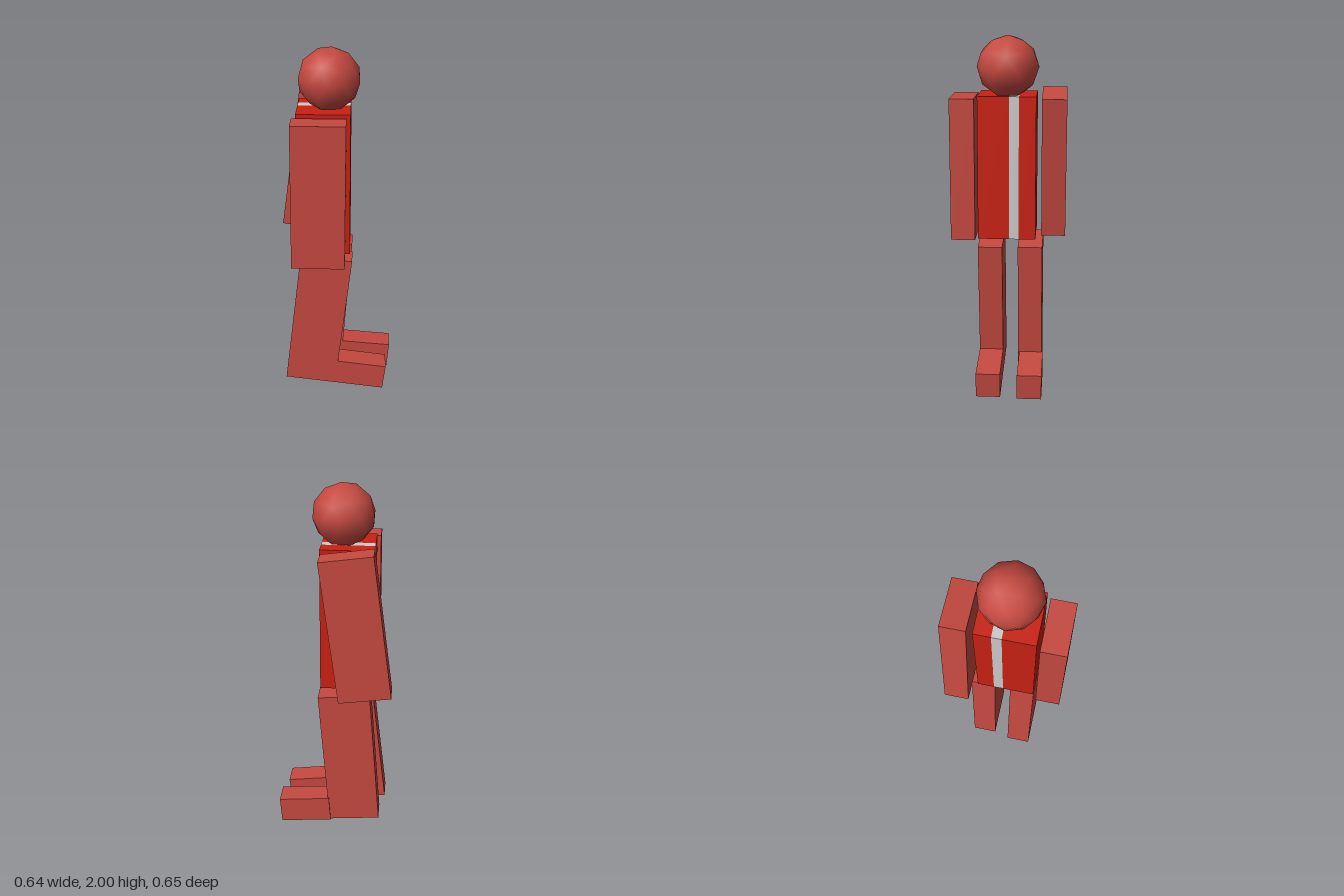
import * as THREE from 'three';

const skin = new THREE.MeshStandardMaterial({ color: 0xc54940 });
const coat = new THREE.MeshStandardMaterial({ color: 0xc92112 });
const grey = new THREE.MeshStandardMaterial({ color: 0xcccccc });

// Box of a given size, centred at pos and leaning in the x-y plane
function block(name, size, pos, material, lean = 0) {
  const mesh = new THREE.Mesh(new THREE.BoxGeometry(...size), material);
  mesh.name = name;
  mesh.position.set(...pos);
  mesh.rotation.z = lean;
  return mesh;
}

export function createModel() {
  const group = new THREE.Group();
  group.name = 'figure';

  // Torso: two coat panels with a grey stripe running through between them
  const torso = new THREE.Group();
  torso.name = 'torso';
  const panels = [
    ['coatPanelFrontSide', -0.01, 0.165, coat],
    ['stripe', -0.063, -0.01, grey],
    ['coatPanelBackSide', -0.157, -0.063, coat],
  ];
  for (const [name, z0, z1, material] of panels) {
    torso.add(block(name, [0.29, 0.8, z1 - z0], [-0.065, 1.28, (z0 + z1) / 2], material));
  }
  group.add(torso);

  // Head: coarse smooth-shaded icosphere with a vertex at the crown
  const headGeometry = new THREE.IcosahedronGeometry(0.172, 1);
  headGeometry.rotateX(-Math.atan((1 + Math.sqrt(5)) / 2));
  headGeometry.rotateY(Math.PI / 2);
  const head = new THREE.Mesh(headGeometry, skin);
  head.name = 'head';
  head.position.set(-0.037, 1.83, 0.003);
  head.rotation.z = -0.08;
  group.add(head);

  // Arms and legs: long slabs caught mid-stride, feet pointing along +x
  const limb = [0.289, 0.8, 0.137];
  const foot = [0.289, 0.146, 0.137];
  const limbs = [
    ['armFrontSide', limb, [-0.088, 1.264, 0.253], -0.006],
    ['armBackSide', limb, [-0.123, 1.288, -0.256], -0.134],
    ['legFrontSide', limb, [-0.098, 0.454, 0.097], -0.12],
    ['legBackSide', limb, [-0.085, 0.449, -0.128], -0.08],
    ['footFrontSide', foot, [0.142, 0.096, 0.097], -0.12],
    ['footBackSide', foot, [0.17, 0.099, -0.136], -0.08],
  ];
  for (const [name, size, pos, lean] of limbs) {
    group.add(block(name, size, pos, skin, lean));
  }

  return group;
}
